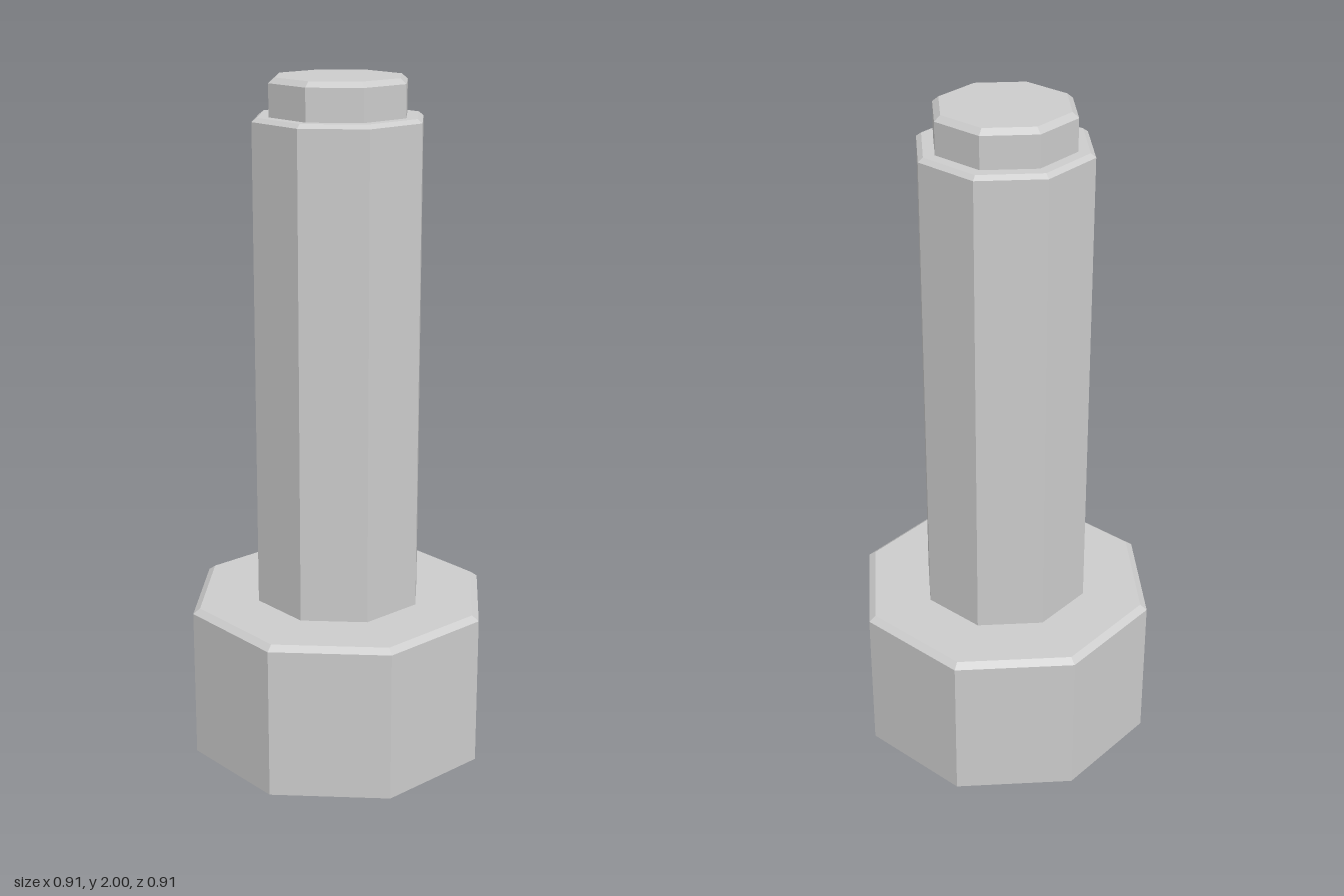
import * as THREE from 'three';

const material = new THREE.MeshStandardMaterial({ color: 0xcccccc, flatShading: true });

// Eight-sided solid with a small chamfer around its top edge, corners on the axes
function chamferedOctagon(name, radius, topRadius, bottom, shoulder, top) {
  const profile = [
    [0, bottom], [radius, bottom], [radius, shoulder], [topRadius, top], [0, top],
  ].map(([r, y]) => new THREE.Vector2(r, y));
  const mesh = new THREE.Mesh(new THREE.LatheGeometry(profile, 8), material);
  mesh.name = name;
  return mesh;
}

export function createModel() {
  const group = new THREE.Group();
  group.name = 'bolt';
  group.add(
    chamferedOctagon('head', 0.455, 0.434, 0, 0.45, 0.465),
    chamferedOctagon('shaft', 0.253, 0.238, 0.465, 1.882, 1.893),
    chamferedOctagon('tip', 0.204, 0.186, 1.893, 1.985, 2),
  );
  return group;
}
